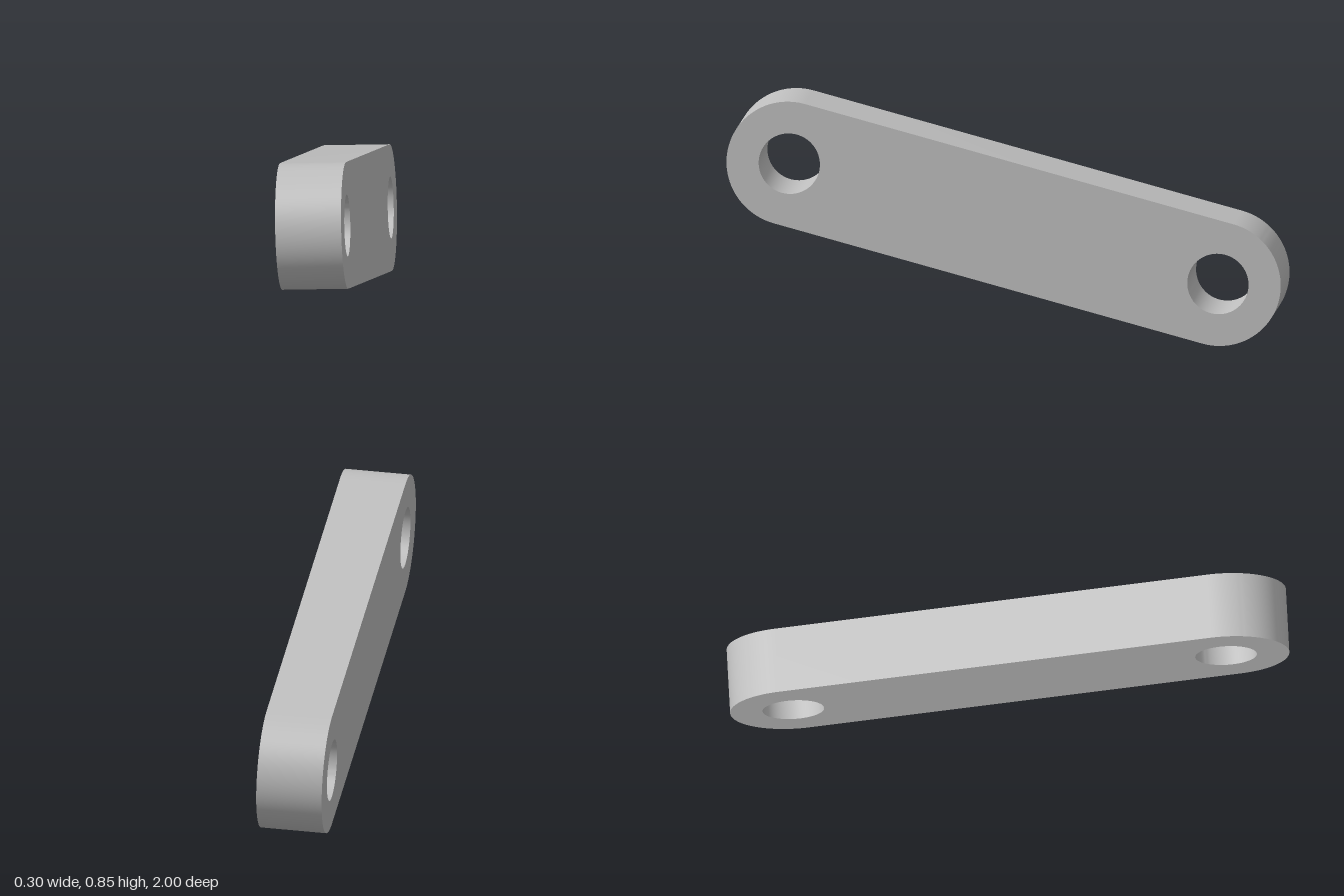
import * as THREE from 'three';
import { toCreasedNormals } from 'three/addons/utils/BufferGeometryUtils.js';

const RADIUS = 0.2255, HOLE = 0.11, HALF_LENGTH = 0.794, THICKNESS = 0.236;

export function createModel() {
  const group = new THREE.Group();
  group.name = 'linkBar';

  const grey = new THREE.MeshStandardMaterial({ color: 0xbfbfbf });
  grey.name = 'grey';

  // Bar outline with rounded ends
  const outline = new THREE.Shape();
  outline.absarc(HALF_LENGTH, 0, RADIUS, -Math.PI / 2, Math.PI / 2, false);
  outline.absarc(-HALF_LENGTH, 0, RADIUS, Math.PI / 2, Math.PI * 1.5, false);
  outline.closePath();

  // One pin hole at each end
  for (const side of [-1, 1]) {
    const hole = new THREE.Path();
    hole.absarc(side * HALF_LENGTH, 0, HOLE, 0, Math.PI * 2, true);
    outline.holes.push(hole);
  }

  const geometry = new THREE.ExtrudeGeometry(outline, {
    depth: THICKNESS, bevelEnabled: false, curveSegments: 32,
  });
  geometry.translate(0, 0, -THICKNESS / 2);

  const bar = new THREE.Mesh(toCreasedNormals(geometry, Math.PI / 6), grey);
  bar.name = 'linkPlate';

  // Tilt: the length rises to the front, the thickness runs nearly along x
  const across = new THREE.Vector3(1, 0.0426, -0.037).normalize();
  const along = new THREE.Vector3(0.0406, 0.385, 1.54).normalize();
  const up = new THREE.Vector3().crossVectors(across, along).normalize();
  along.crossVectors(up, across);
  bar.quaternion.setFromRotationMatrix(new THREE.Matrix4().makeBasis(along, up, across));
  bar.position.y = 0.424;

  group.add(bar);
  return group;
}
